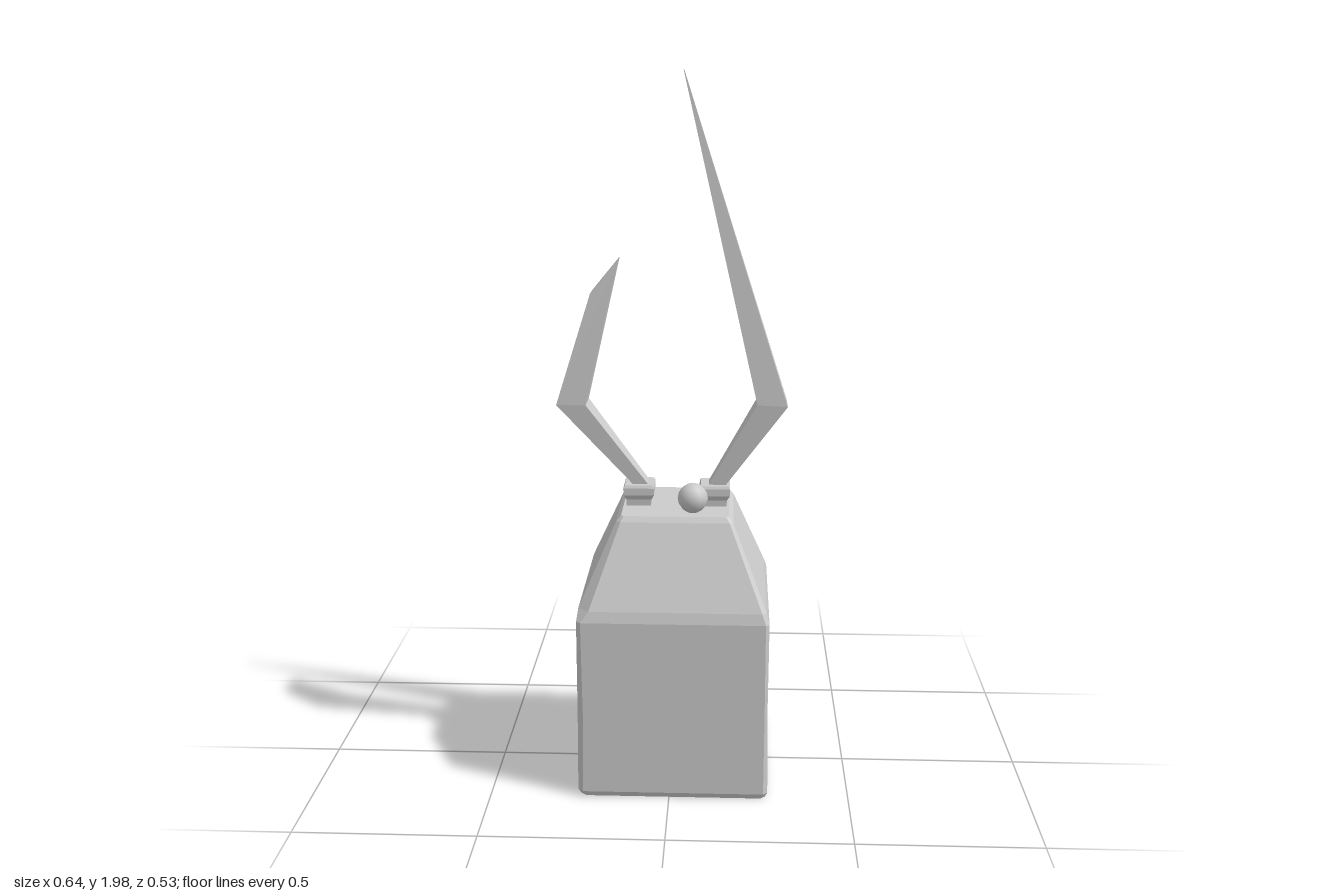
import * as THREE from 'three';

const grey = new THREE.MeshStandardMaterial({ color: 0xcccccc, flatShading: true, side: THREE.DoubleSide });

// Skin a stack of rings (each counterclockwise seen from above), with optional caps
function loft(name, rings, capBottom = true) {
  const pos = [];
  const tri = (a, b, c) => pos.push(...a, ...b, ...c);
  const n = rings[0].length;
  for (let r = 0; r < rings.length - 1; r++) {
    const lo = rings[r], hi = rings[r + 1];
    for (let i = 0; i < n; i++) {
      const j = (i + 1) % n;
      tri(lo[i], lo[j], hi[j]);
      tri(lo[i], hi[j], hi[i]);
    }
  }
  const top = rings[rings.length - 1], bottom = rings[0];
  for (let i = 1; i < n - 1; i++) {
    tri(top[0], top[i], top[i + 1]);
    if (capBottom) tri(bottom[0], bottom[i + 1], bottom[i]);
  }
  const geo = new THREE.BufferGeometry();
  geo.setAttribute('position', new THREE.Float32BufferAttribute(pos, 3));
  geo.computeVertexNormals();
  const mesh = new THREE.Mesh(geo, grey);
  mesh.name = name;
  return mesh;
}

const Z0 = 0.003; // depth of the horn centre line

// Four-cornered ring; each x side has its own height and half depth
const rect = (x0, y0, x1, y1, h0, h1 = h0) => [
  [x1, y1, Z0 + h1], [x1, y1, Z0 - h1], [x0, y0, Z0 - h0], [x0, y0, Z0 + h0],
];

// Rectangle with worn corners: cuts are front right, back right, back left, front left
function wornRing(y, x0, x1, z0, z1, [a, b, c, d]) {
  return [
    [x1 - a, y, z1], [x1, y, z1 - a], [x1, y, z0 + b], [x1 - b, y, z0],
    [x0 + c, y, z0], [x0, y, z0 + c], [x0, y, z1 - d], [x0 + d, y, z1],
  ];
}

export function createModel() {
  const model = new THREE.Group();

  // Hollow stone block with a tapered top, open underneath
  model.add(loft('stoneBase', [
    wornRing(0.005, -0.246, 0.268, -0.258, 0.258, [0.012, 0.012, 0.01, 0.014]),
    wornRing(0.02, -0.255, 0.275, -0.264, 0.264, [0.012, 0.012, 0.01, 0.014]),
    wornRing(0.25, -0.254, 0.272, -0.264, 0.263, [0.008, 0.02, 0.006, 0.016]),
    wornRing(0.52, -0.254, 0.274, -0.265, 0.264, [0.01, 0.014, 0.008, 0.012]),
    wornRing(0.55, -0.25, 0.266, -0.257, 0.256, [0.012, 0.04, 0.012, 0.03]),
    wornRing(0.775, -0.15, 0.173, -0.166, 0.156, [0.01, 0.026, 0.012, 0.012]),
    wornRing(0.79, -0.137, 0.16, -0.15, 0.145, [0.007, 0.012, 0.006, 0.007]),
  ], false));

  // Flared sockets under the horns
  const profile = [[0.785, 0.034], [0.808, 0.035], [0.822, 0.043], [0.842, 0.043], [0.85, 0.039]];
  for (const [name, x] of [['leftSocket', 0.119], ['rightSocket', -0.094]]) {
    model.add(loft(name, profile.map(([y, w]) => rect(x - w, y, x + w, y, w + 0.005))));
  }

  // Tall pointed horn
  model.add(loft('leftHorn', [
    rect(0.1, 0.845, 0.147, 0.845, 0.027),
    rect(0.236, 1.085, 0.32, 1.08, 0.048),
    rect(0.029, 1.985, 0.031, 1.985, 0.001),
  ]));

  // Broken horn, snapped off at a slant
  model.add(loft('rightHorn', [
    rect(-0.107, 0.845, -0.065, 0.845, 0.027),
    rect(-0.322, 1.08, -0.24, 1.08, 0.048),
    rect(-0.225, 1.39, -0.147, 1.485, 0.034, 0.027),
  ]));

  // Small ball resting on the top
  const ball = new THREE.Mesh(
    new THREE.SphereGeometry(0.042, 12, 8),
    new THREE.MeshStandardMaterial({ color: 0xcccccc }),
  );
  ball.name = 'ball';
  ball.position.set(0.06, 0.833, 0.107);
  model.add(ball);

  return model;
}
